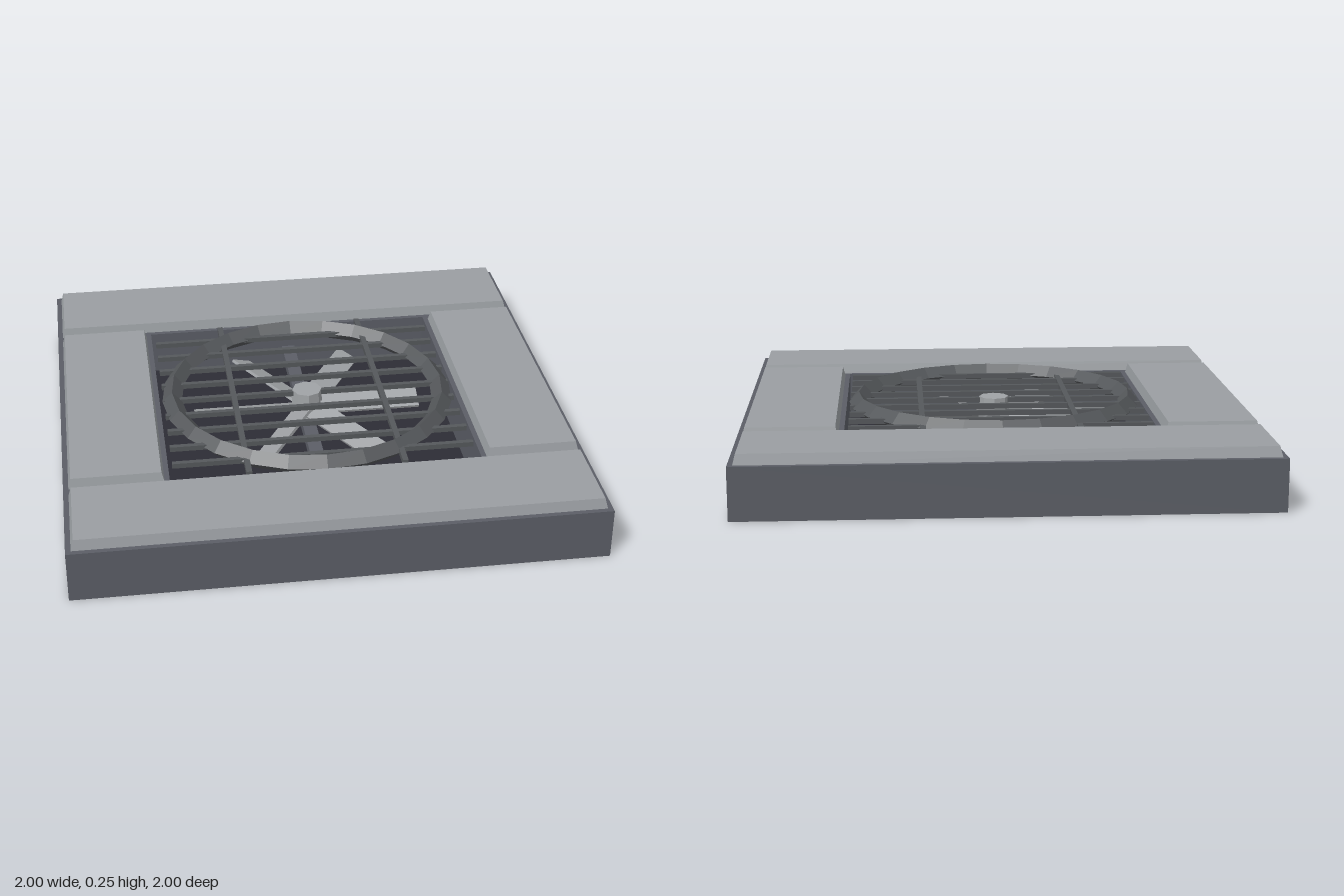
import * as THREE from 'three';

const mat = (name, color) => {
  const m = new THREE.MeshStandardMaterial({ color });
  m.name = name;
  return m;
};

export function createModel() {
  const root = new THREE.Group();
  root.name = 'ventilationFanTile';
  const frameGrey = mat('frameGrey', 0x5b5e66);
  const panelGrey = mat('panelGrey', 0x9a9ea2);
  const grillGrey = mat('grillGrey', 0x55585b);
  const bladeGrey = mat('bladeGrey', 0xa0a3a6);
  const pitDark = mat('pitDark', 0x2d2c35);

  const add = (name, geo, material, x = 0, y = 0, z = 0, parent = root) => {
    const mesh = new THREE.Mesh(geo, material);
    mesh.name = name;
    mesh.position.set(x, y, z);
    parent.add(mesh);
    return mesh;
  };
  const square = (Type, h) => new Type([[-h, -h], [h, -h], [h, h], [-h, h]].map(p => new THREE.Vector2(...p)));

  // Square frame with a square shaft
  const outline = square(THREE.Shape, 1);
  outline.holes.push(square(THREE.Path, 0.6));
  const frameGeo = new THREE.ExtrudeGeometry(outline, { depth: 0.2, bevelEnabled: false });
  frameGeo.rotateX(-Math.PI / 2);
  add('frame', frameGeo, frameGrey);

  // Shaft floor
  add('shaftFloor', new THREE.BoxGeometry(1.2, 0.02, 1.2), pitDark, 0, 0.01, 0);

  // Cover panels with slightly sloped sides
  const panel = (w, d) => {
    const geo = new THREE.BoxGeometry(w, 0.04, d);
    const p = geo.attributes.position;
    for (let i = 0; i < p.count; i++) {
      if (p.getY(i) < 0) continue;
      p.setX(i, p.getX(i) - Math.sign(p.getX(i)) * 0.01);
      p.setZ(i, p.getZ(i) - Math.sign(p.getZ(i)) * 0.01);
    }
    const flat = geo.toNonIndexed();
    flat.computeVertexNormals();
    return flat;
  };
  for (const s of [-1, 1]) {
    add(s > 0 ? 'frontPanel' : 'backPanel', panel(1.96, 0.36), panelGrey, 0, 0.22, s * 0.8);
    add(s > 0 ? 'leftPanel' : 'rightPanel', panel(0.36, 1.16), panelGrey, s * 0.8, 0.22, 0);
  }

  // Faceted guard ring
  const ringGeo = new THREE.TorusGeometry(0.55, 0.04, 4, 24).toNonIndexed();
  ringGeo.rotateX(-Math.PI / 2);
  ringGeo.computeVertexNormals();
  add('guardRing', ringGeo, grillGrey, 0, 0.21, 0);

  // Grill bars
  const grill = new THREE.Group();
  grill.name = 'grill';
  root.add(grill);
  for (let i = -4; i <= 4; i++) {
    add('crossBar', new THREE.BoxGeometry(1.17, 0.02, 0.02), grillGrey, 0, 0.21, i * 0.12, grill);
  }
  for (const s of [-1, 1]) {
    add('longBar', new THREE.BoxGeometry(0.022, 0.022, 1.17), grillGrey, s * 0.3, 0.211, 0, grill);
  }

  // Motor strut below the fan
  add('motorStrut', new THREE.BoxGeometry(0.055, 0.04, 1.2), frameGrey, 0, 0.08, 0);

  // Fan hub and six pitched blades
  const fan = new THREE.Group();
  fan.name = 'fan';
  root.add(fan);
  const hubGeo = new THREE.CylinderGeometry(0.06, 0.065, 0.125, 8).toNonIndexed();
  hubGeo.computeVertexNormals();
  add('hub', hubGeo, bladeGrey, 0, 0.1625, 0, fan);
  for (let i = 0; i < 6; i++) {
    const arm = new THREE.Group();
    arm.name = 'bladeArm';
    arm.rotation.y = i * Math.PI / 3;
    fan.add(arm);
    const blade = add('blade', new THREE.BoxGeometry(0.42, 0.012, 0.095), bladeGrey, 0.25, 0.15, 0, arm);
    blade.rotation.x = 0.4;
  }
  return root;
}
